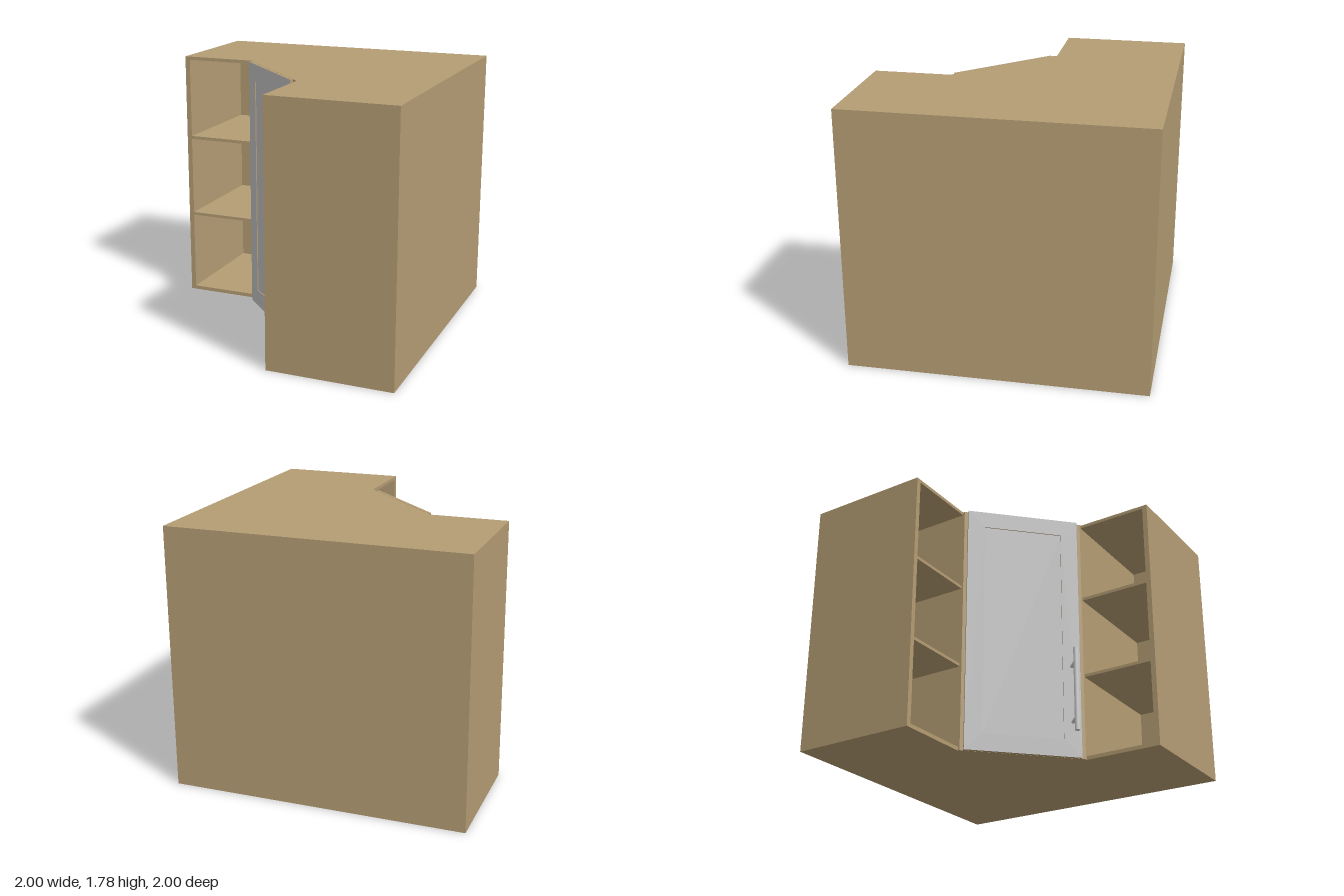
import * as THREE from 'three';

const H = 1.78, T = 0.035, IN = 0.47, FRONT = -0.137;

export function createModel() {
  const wood = new THREE.MeshStandardMaterial({ name: 'tan wood', color: 0xb59d74 });
  const grey = new THREE.MeshStandardMaterial({ name: 'grey door face', color: 0xc4c4c4 });
  const steel = new THREE.MeshStandardMaterial({ name: 'light metal', color: 0xd2d2d2 });
  const model = new THREE.Group();
  model.name = 'cornerCabinet';

  const add = (parent, name, geometry, material, x = 0, y = 0, z = 0) => {
    const mesh = new THREE.Mesh(geometry, material);
    mesh.name = name;
    mesh.position.set(x, y, z);
    parent.add(mesh);
    return mesh;
  };

  // Central corner body with a diagonal front
  const plan = new THREE.Shape([
    [-IN, 1], [-IN, 0.123], [0.123, -IN], [1, -IN], [1, 1],
  ].map(([x, y]) => new THREE.Vector2(x, y)));
  const body = new THREE.ExtrudeGeometry(plan, { depth: H, bevelEnabled: false });
  body.rotateX(-Math.PI / 2);
  add(model, 'cornerBody', body, wood);

  // Two open shelf wings, mirrored across the diagonal
  for (const mirrored of [false, true]) {
    const wing = new THREE.Group();
    wing.name = mirrored ? 'leftShelfWing' : 'rightShelfWing';
    model.add(wing);
    const panel = (name, x0, x1, y0, y1, z0, z1) => {
      if (mirrored) [x0, x1, z0, z1] = [-z1, -z0, -x1, -x0];
      add(wing, name, new THREE.BoxGeometry(x1 - x0, y1 - y0, z1 - z0), wood,
        (x0 + x1) / 2, (y0 + y1) / 2, (z0 + z1) / 2);
    };
    panel('outerSide', -1, -1 + T, 0, H, -1, FRONT);
    panel('backPanel', -1 + T, -IN, 0, H, -1, -1 + T);
    for (const [name, y0, y1] of [
      ['bottom', 0, 0.026], ['lowerShelf', 0.59, 0.611],
      ['upperShelf', 1.172, 1.194], ['top', 1.757, H],
    ]) panel(name, -1 + T, -IN, y0, y1, -1 + T, FRONT);
  }

  // Door, facing diagonally outward; local z = 0 is its outer face
  const door = new THREE.Group();
  door.name = 'door';
  door.position.set(-0.1925, 0, 0.1875);
  door.rotation.y = -Math.PI / 4;
  model.add(door);
  const W = 0.785, R = 0.12, DEPTH = 0.008, SLAB = 0.013;
  add(door, 'doorSlab', new THREE.BoxGeometry(W, H, SLAB), wood, 0, H / 2, -DEPTH - SLAB / 2);

  const rect = (Type, x, y0, y1) => new Type([
    new THREE.Vector2(-x, y0), new THREE.Vector2(x, y0),
    new THREE.Vector2(x, y1), new THREE.Vector2(-x, y1),
  ]);
  const rim = rect(THREE.Shape, W / 2, 0, H);
  rim.holes.push(rect(THREE.Path, W / 2 - R, R, H - R));
  const rimGeometry = new THREE.ExtrudeGeometry(rim, { depth: DEPTH, bevelEnabled: false });
  add(door, 'doorFrame', rimGeometry, [grey, wood], 0, 0, -DEPTH);
  add(door, 'doorInset', new THREE.PlaneGeometry(W - 2 * R, H - 2 * R), grey, 0, H / 2, -DEPTH + 0.001);

  // Bar handle on two posts
  const handle = new THREE.Group();
  handle.name = 'handle';
  handle.position.set(0.335, 0, 0);
  door.add(handle);
  add(handle, 'handleBar', new THREE.CylinderGeometry(0.017, 0.017, 0.59, 24), steel, 0, 0.445, 0.106);
  for (const y of [0.245, 0.645]) {
    const post = add(handle, 'handlePost', new THREE.CylinderGeometry(0.012, 0.012, 0.106, 20), steel, 0, y, 0.053);
    post.rotation.x = Math.PI / 2;
  }
  return model;
}
